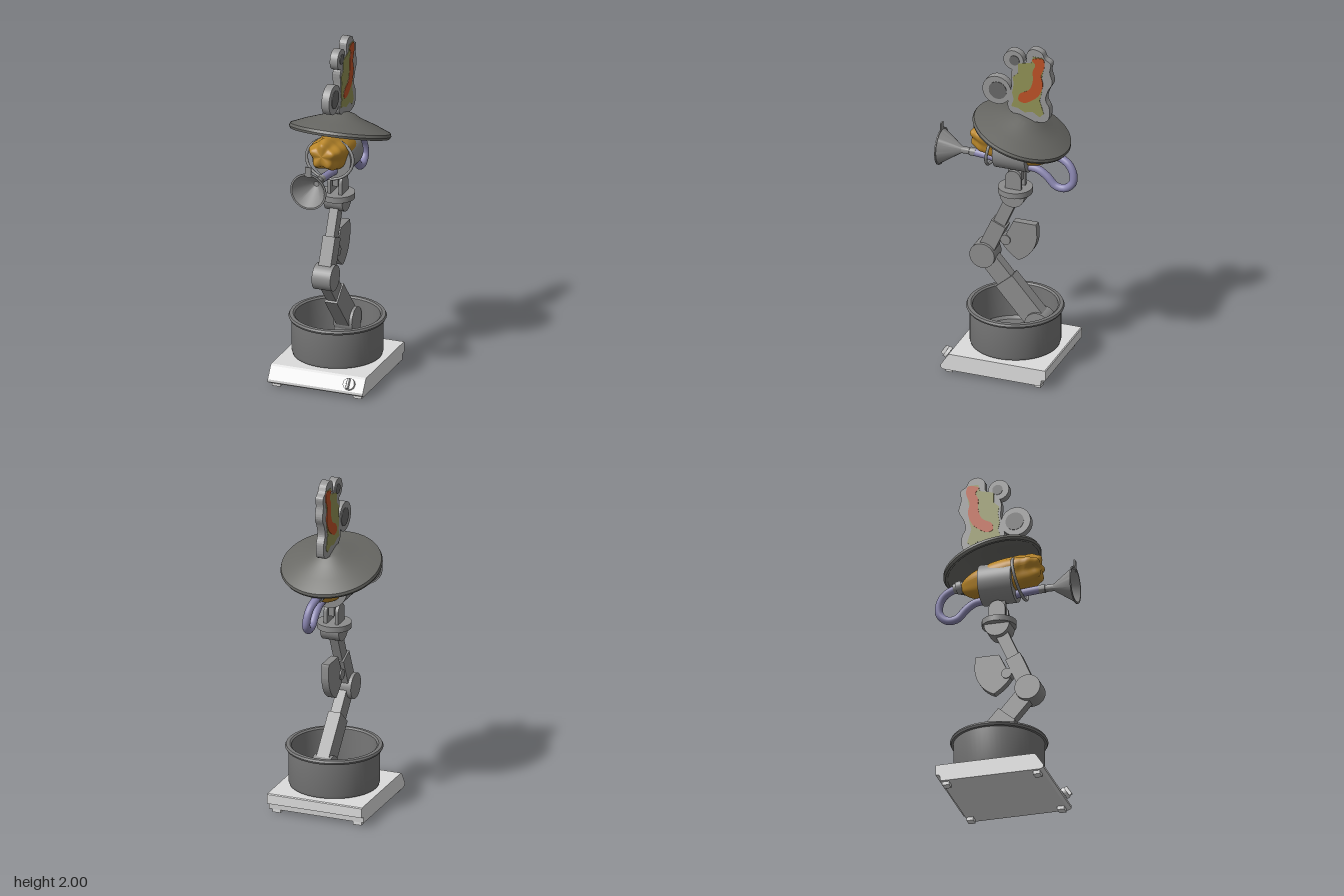
import * as THREE from 'three';
import { toCreasedNormals } from 'three/addons/utils/BufferGeometryUtils.js';
import { RoundedBoxGeometry } from 'three/addons/geometries/RoundedBoxGeometry.js';

const mat = (name, color) => Object.assign(new THREE.MeshStandardMaterial({ color }), { name });

export function createModel() {
  const model = new THREE.Group();
  const enamel = mat('light enamel', 0xdcdcdc);
  const steel = mat('steel', 0x8c8c8c);
  const potGrey = mat('pot grey', 0x777777);
  const lidGrey = mat('lid grey', 0x686864);
  const yellow = mat('pepper yellow', 0xb8862a);
  const violet = mat('hose violet', 0x8a86b0);
  const plateGrey = mat('cutout grey', 0x969696);
  const earGrey = mat('inner ear grey', 0x666666);
  const olive = mat('paint olive', 0x8f9054);
  const rust = mat('paint rust', 0xbb5026);

  const add = (name, geo, material, x = 0, y = 0, z = 0, parent = model) => {
    const m = new THREE.Mesh(geo, material);
    m.name = name;
    m.position.set(x, y, z);
    parent.add(m);
    return m;
  };
  const lathe = (pts, seg = 48) =>
    toCreasedNormals(new THREE.LatheGeometry(pts.map(p => new THREE.Vector2(...p)), seg), 0.6);

  // Side silhouettes: points are [-z, y], extruded across x and centred
  const extrudeX = (shape, width) => {
    const g = new THREE.ExtrudeGeometry(shape, { depth: width, bevelEnabled: false, curveSegments: 16 });
    return g.translate(0, 0, -width / 2).rotateY(Math.PI / 2);
  };
  const poly = pts => new THREE.Shape(pts.map(p => new THREE.Vector2(...p)));
  const blob = pts => {
    const c = new THREE.CatmullRomCurve3(pts.map(p => new THREE.Vector3(p[0], p[1], 0)), true, 'centripetal');
    return poly(c.getPoints(pts.length * 5).slice(0, -1).map(p => [p.x, p.y]));
  };
  // Disc with its axis along x
  const disc = (name, r, width, y, z, material = steel, x = 0) =>
    add(name, new THREE.CylinderGeometry(r, r, width, 36).rotateZ(Math.PI / 2), material, x, y, z);
  // Box beam between two [z, y] points
  const beam = (name, a, b, depth, width) => {
    const dz = b[0] - a[0], dy = b[1] - a[1];
    const m = add(name, new THREE.BoxGeometry(width, Math.hypot(dz, dy), depth), steel,
      0, (a[1] + b[1]) / 2, (a[0] + b[0]) / 2);
    m.rotation.x = Math.atan2(dz, dy);
    return m;
  };

  // Hotplate base with a sloped control front
  add('base', extrudeX(poly([[-0.29, 0.02], [0.295, 0.02], [0.3, 0.055], [0.325, 0.06], [0.325, 0.115],
    [0.32, 0.12], [-0.25, 0.12], [-0.262, 0.112], [-0.305, 0.045], [-0.305, 0.03]]), 0.574), enamel);
  for (const sx of [-1, 1]) for (const z of [0.26, -0.27])
    add('foot', new THREE.BoxGeometry(0.05, 0.022, 0.04), enamel, sx * 0.245, 0.011, z);

  // Control knob, facing out of the slope
  const knob = new THREE.Group();
  knob.name = 'knob';
  knob.position.set(0.2, 0.082, 0.287);
  knob.rotation.x = 1.0;
  model.add(knob);
  add('knobDisc', new THREE.CylinderGeometry(0.034, 0.034, 0.02, 32), enamel, 0, 0.008, 0, knob);
  add('knobGrip', new RoundedBoxGeometry(0.015, 0.024, 0.06, 2, 0.004), enamel, 0, 0.026, 0, knob);

  // Open cooking pot
  add('pot', lathe([[0, 0.12], [0.235, 0.12], [0.252, 0.127], [0.258, 0.145], [0.258, 0.335], [0.27, 0.337],
    [0.276, 0.349], [0.27, 0.361], [0.25, 0.363], [0.24, 0.355], [0.24, 0.155], [0.225, 0.14], [0, 0.14]], 56),
  potGrey, 0, 0, -0.035);

  // Jointed arm
  const foot = [-0.185, 0.27], elbow = [0.145, 0.65], neck = [-0.035, 1.06];
  const along = (a, b, t) => [a[0] + (b[0] - a[0]) * t, a[1] + (b[1] - a[1]) * t];
  disc('footJoint', 0.075, 0.11, foot[1], foot[0]);
  add('footBracket', new THREE.BoxGeometry(0.11, 0.13, 0.12), steel, 0, 0.2, foot[0] + 0.005);
  beam('lowerArmSleeve', foot, along(foot, elbow, 0.62), 0.13, 0.076);
  beam('lowerArm', along(foot, elbow, 0.6), elbow, 0.105, 0.06);
  disc('elbowJoint', 0.075, 0.112, elbow[1], elbow[0]);
  beam('upperArmSleeve', elbow, along(elbow, neck, 0.51), 0.093, 0.074);
  beam('upperArm', along(elbow, neck, 0.5), neck, 0.072, 0.052);
  disc('finPivot', 0.03, 0.06, 0.762, 0.015);

  // Rounded fin behind the upper arm
  const fin = new THREE.Shape();
  fin.moveTo(0.03, 0.885);
  fin.lineTo(0.165, 0.885);
  fin.quadraticCurveTo(0.172, 0.88, 0.172, 0.8);
  fin.bezierCurveTo(0.165, 0.73, 0.12, 0.67, 0.06, 0.647);
  fin.quadraticCurveTo(-0.01, 0.69, -0.035, 0.735);
  fin.lineTo(-0.03, 0.76);
  add('fin', extrudeX(fin, 0.044), steel);

  // Neck: half-round knuckle, flange and forked bracket
  const knuckle = new THREE.Shape();
  knuckle.absarc(0.035, 1.065, 0.074, Math.PI, Math.PI * 2, false);
  add('neckKnuckle', extrudeX(knuckle, 0.112), steel);
  add('neckFlange', new THREE.CylinderGeometry(0.098, 0.098, 0.034, 40), steel, 0, 1.083, -0.035);
  for (const s of [-1, 1]) {
    add('neckFork', new THREE.BoxGeometry(0.02, 0.07, 0.096), steel, s * 0.034, 1.13, -0.037);
    disc('forkEar', 0.048, 0.02, 1.165, -0.037, steel, s * 0.034);
  }
  add('neckTongue', new THREE.BoxGeometry(0.034, 0.09, 0.08), steel, 0, 1.19, -0.037);

  // Round body band, axis along z
  add('bodyBand', lathe([[0, -0.097], [0.117, -0.097], [0.117, 0.097], [0, 0.097]], 48).rotateX(Math.PI / 2),
    steel, 0, 1.333, -0.035);

  // Lobed pepper through the band: blunt front, tapered back
  const pepper = new THREE.SphereGeometry(1, 60, 40).rotateX(Math.PI / 2);
  const p = pepper.attributes.position;
  for (let i = 0; i < p.count; i++) {
    const x = p.getX(i), y = p.getY(i), n = p.getZ(i);
    const rad = Math.hypot(x, y), phi = Math.atan2(y, x), front = Math.max(n, 0);
    const lobe = Math.cos(5 * phi - Math.PI / 2);
    const r = 0.105 * Math.pow(rad, n > 0 ? 0.6 : 0.95) *
      (1 + (0.04 + 0.07 * front) * lobe + 0.05 * front * Math.sin(n * 22));
    const z = (n > 0 ? 0.232 : 0.255) * n + 0.018 * front * lobe * rad - 0.02 * Math.pow(front, 12);
    p.setXYZ(i, r * Math.cos(phi), r * Math.sin(phi) + 1.37 + 0.15 * z, z);
  }
  pepper.computeVertexNormals();
  add('pepper', pepper, yellow);

  // Wire hoop round the front of the pepper
  const hoop = add('wireHoop', new THREE.TorusGeometry(0.14, 0.009, 10, 56), steel, 0, 1.345, 0.085);
  hoop.scale.y = 0.83;
  hoop.rotation.x = -0.18;

  // Horn with a rim tab
  add('horn', lathe([[0, 0.2], [0.024, 0.2], [0.024, 0.235], [0.02, 0.238], [0.02, 0.285], [0.1, 0.405],
    [0.108, 0.405], [0.108, 0.412], [0.098, 0.412], [0.015, 0.287], [0, 0.287]]).rotateX(Math.PI / 2),
  steel, 0, 1.27, 0);
  add('hornTab', new THREE.BoxGeometry(0.036, 0.06, 0.007), steel, 0, 1.388, 0.408);

  // Hose from horn to the pepper's back nozzle
  const hosePath = new THREE.CatmullRomCurve3([[0, 1.27, 0.22], [0.01, 1.265, 0.1], [0.03, 1.255, -0.05],
    [0.03, 1.248, -0.18], [0.03, 1.215, -0.235], [0.03, 1.162, -0.29], [0.028, 1.157, -0.345],
    [0.024, 1.195, -0.388], [0.018, 1.25, -0.389], [0.01, 1.3, -0.36], [0, 1.33, -0.3], [0, 1.337, -0.26]]
    .map(v => new THREE.Vector3(...v)));
  add('hose', new THREE.TubeGeometry(hosePath, 90, 0.023, 16), violet);
  for (const [r, len, z] of [[0.029, 0.07, -0.265], [0.037, 0.035, -0.265]]) {
    const n = add('nozzle', new THREE.CylinderGeometry(r, r, len, 28).rotateX(Math.PI / 2), steel, 0, 1.34, z);
    n.rotation.x = -0.15;
  }

  // Tilted lid worn as a hat
  const lid = add('lidHat', lathe([[0, 0.075], [0.1, 0.053], [0.25, -0.008], [0.268, -0.019], [0.282, -0.018],
    [0.289, -0.004], [0.284, 0.012], [0.2, 0.047], [0.11, 0.078], [0.07, 0.1], [0.045, 0.107], [0, 0.108]], 56),
  lidGrey, 0, 1.457, -0.075);
  lid.rotation.x = -0.315;

  // Flat painted cutout standing on the lid
  add('cutout', extrudeX(blob([[0, 1.6], [0.02, 1.74], [0.02, 1.835], [0.075, 1.895], [0.108, 1.91],
    [0.115, 1.97], [0.15, 1.995], [0.2, 1.982], [0.222, 1.945], [0.255, 1.92], [0.25, 1.868], [0.265, 1.8],
    [0.238, 1.745], [0.225, 1.69], [0.248, 1.635], [0.235, 1.557], [0.14, 1.54], [0.06, 1.56]]), 0.046), plateGrey);
  for (const [r, inner, y, z] of [[0.086, 0.053, 1.698, 0.068], [0.06, 0.03, 1.905, -0.032]]) {
    disc('ear', r, 0.046, y, z, plateGrey);
    disc('innerEar', inner, 0.052, y, z - 0.006, earGrey);
  }
  add('olivePaint', extrudeX(poly([[0.02, 1.615], [0.035, 1.66], [0.025, 1.7], [0.035, 1.76], [0.028, 1.8],
    [0.06, 1.83], [0.06, 1.89], [0.1, 1.9], [0.14, 1.91], [0.15, 1.95], [0.21, 1.95], [0.215, 1.89],
    [0.2, 1.8], [0.205, 1.74], [0.19, 1.68], [0.215, 1.6], [0.19, 1.575], [0.15, 1.6], [0.1, 1.59],
    [0.06, 1.61]]), 0.051), olive);
  add('rustPaint', extrudeX(blob([[0.145, 1.93], [0.21, 1.945], [0.22, 1.9], [0.2, 1.84], [0.21, 1.78],
    [0.185, 1.71], [0.14, 1.67], [0.1, 1.65], [0.065, 1.66], [0.07, 1.7], [0.13, 1.74], [0.15, 1.8],
    [0.15, 1.86], [0.165, 1.9]]), 0.055), rust);

  return model;
}
